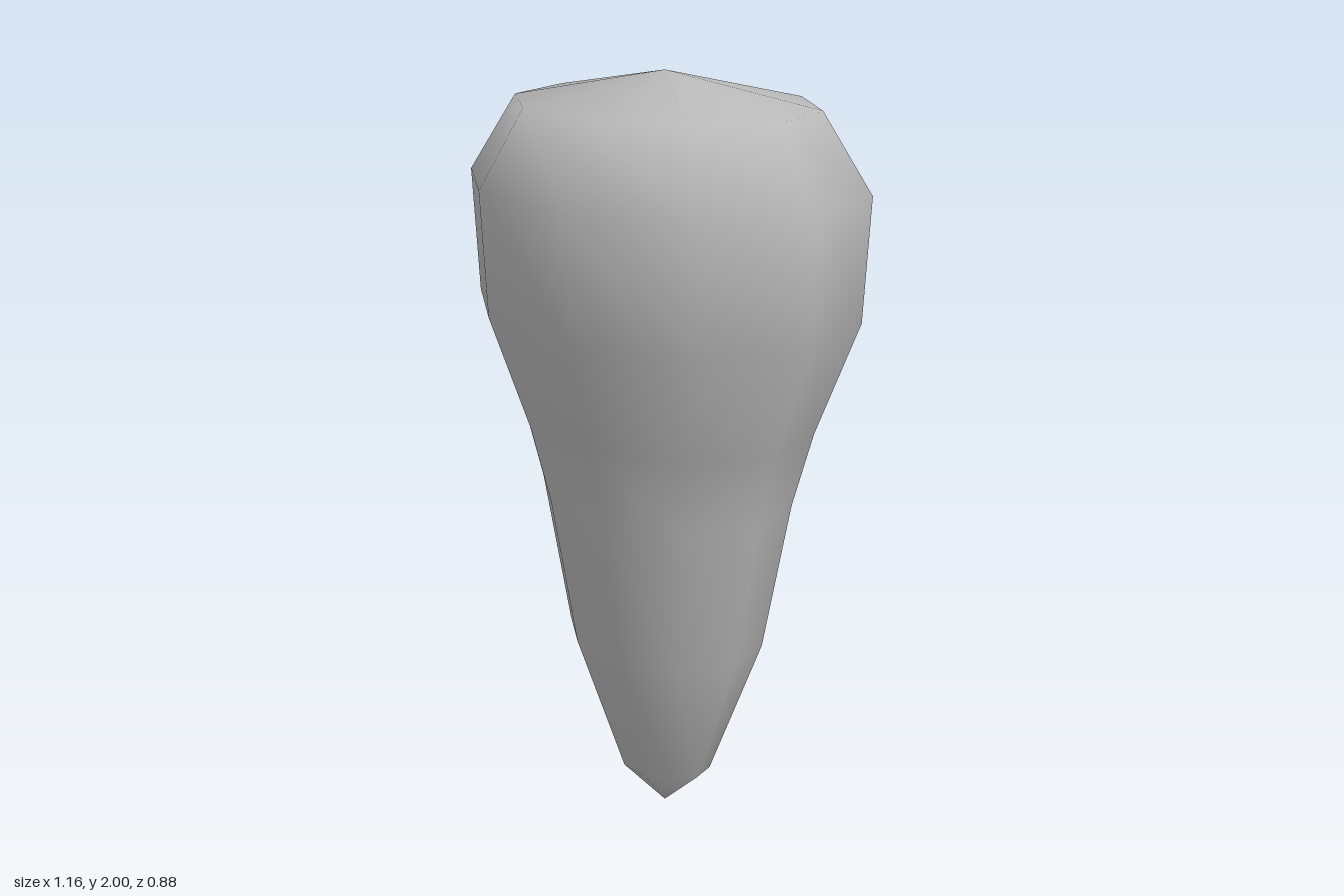
import * as THREE from 'three';

export function createModel() {
  const group = new THREE.Group();
  group.name = 'taperedStone';

  const grey = new THREE.MeshStandardMaterial({ color: 0xb8b8b8 });
  grey.name = 'plain grey';

  // Profile from the pointed foot up to the shallow cone on top: [radius, height]
  const profile = [
    [0, 0], [0.14, 0.12], [0.295, 0.5], [0.375, 0.9], [0.435, 1.1],
    [0.56, 1.4], [0.58, 1.72], [0.44, 1.92], [0, 2],
  ].map(([r, y]) => new THREE.Vector2(r, y));

  // Ten-sided smooth body, seam on the left (+x), flattened front to back
  const geometry = new THREE.LatheGeometry(profile, 10, Math.PI / 2);
  geometry.scale(1, 1, 0.8);

  const body = new THREE.Mesh(geometry, grey);
  body.name = 'body';
  group.add(body);
  return group;
}
